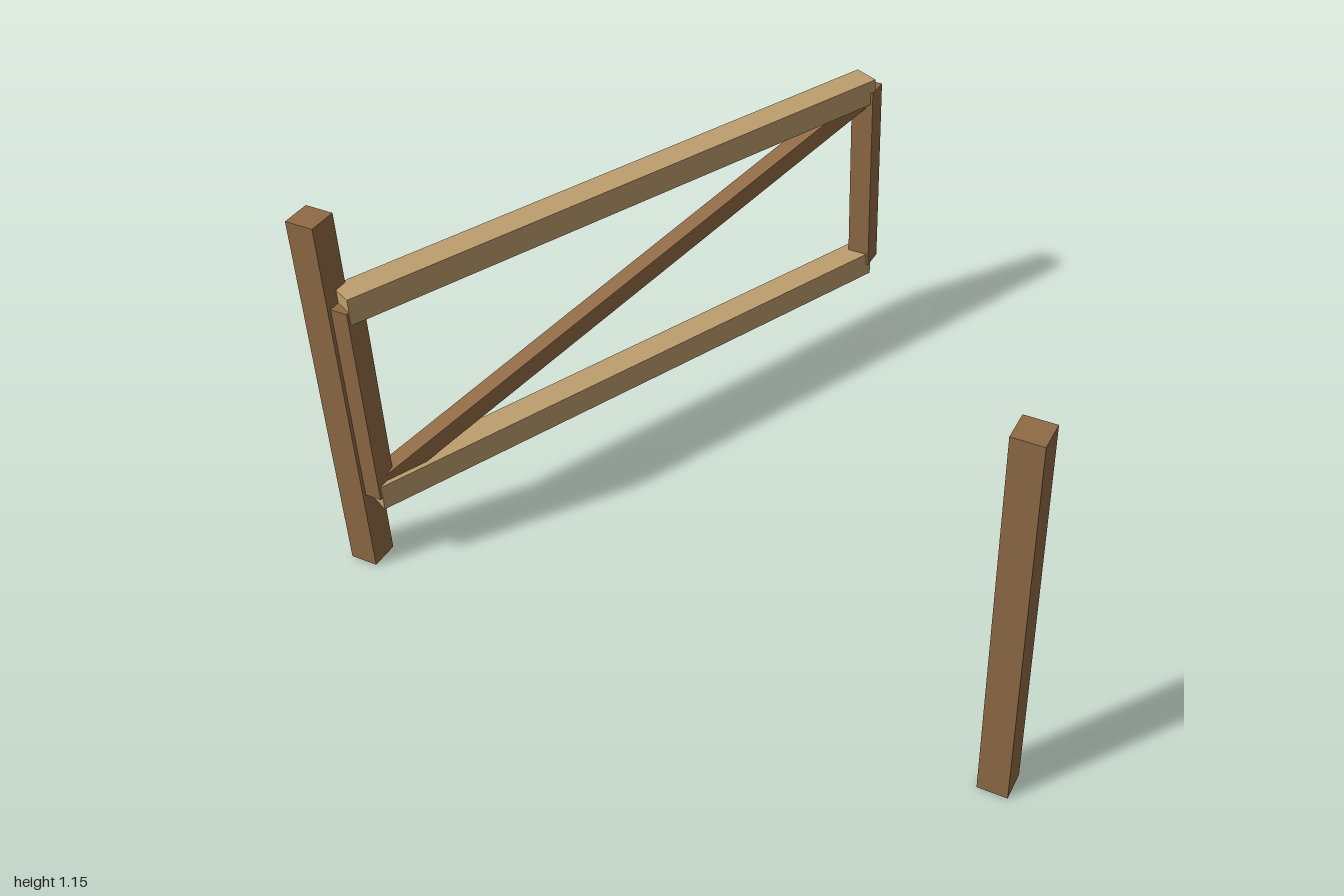
import * as THREE from 'three';

export function createModel() {
  const model = new THREE.Group();
  model.name = 'openFieldGate';

  const darkWood = new THREE.MeshStandardMaterial({ color: 0x8f6a45 });
  darkWood.name = 'darkWood';
  const paleWood = new THREE.MeshStandardMaterial({ color: 0xbd9d6d });
  paleWood.name = 'paleWood';

  const beam = (name, parent, material, size, position) => {
    const mesh = new THREE.Mesh(new THREE.BoxGeometry(...size), material);
    mesh.name = name;
    mesh.position.set(...position);
    parent.add(mesh);
    return mesh;
  };

  // Gate posts
  for (const [name, x] of [['hingePost', -0.959], ['latchPost', 0.959]]) {
    beam(name, model, darkWood, [0.083, 1.155, 0.083], [x, 0.5775, 0.809]);
  }

  // Uprights at the two ends of the gate, square to the posts
  beam('hingeUpright', model, darkWood, [0.07, 0.64, 0.07], [-0.902, 0.58, 0.804]);
  beam('freeUpright', model, darkWood, [0.07, 0.64, 0.07], [-0.14, 0.58, -0.819]);

  // Swung gate: length runs along local x, from the hinge to the free end
  const gate = new THREE.Group();
  gate.name = 'swungGate';
  gate.position.set(-0.5225, 0, -0.0025);
  gate.rotation.y = THREE.MathUtils.degToRad(65);
  model.add(gate);

  // Rails
  for (const [name, y] of [['lowerRail', 0.26], ['upperRail', 0.9]]) {
    beam(name, gate, paleWood, [1.8, 0.081, 0.083], [0, y, 0]);
  }

  // Diagonal brace rising to the free end
  const brace = beam('diagonalBrace', gate, darkWood, [1.87, 0.058, 0.053], [0, 0.58, 0]);
  brace.rotation.z = Math.atan2(0.6, 1.8);

  return model;
}
